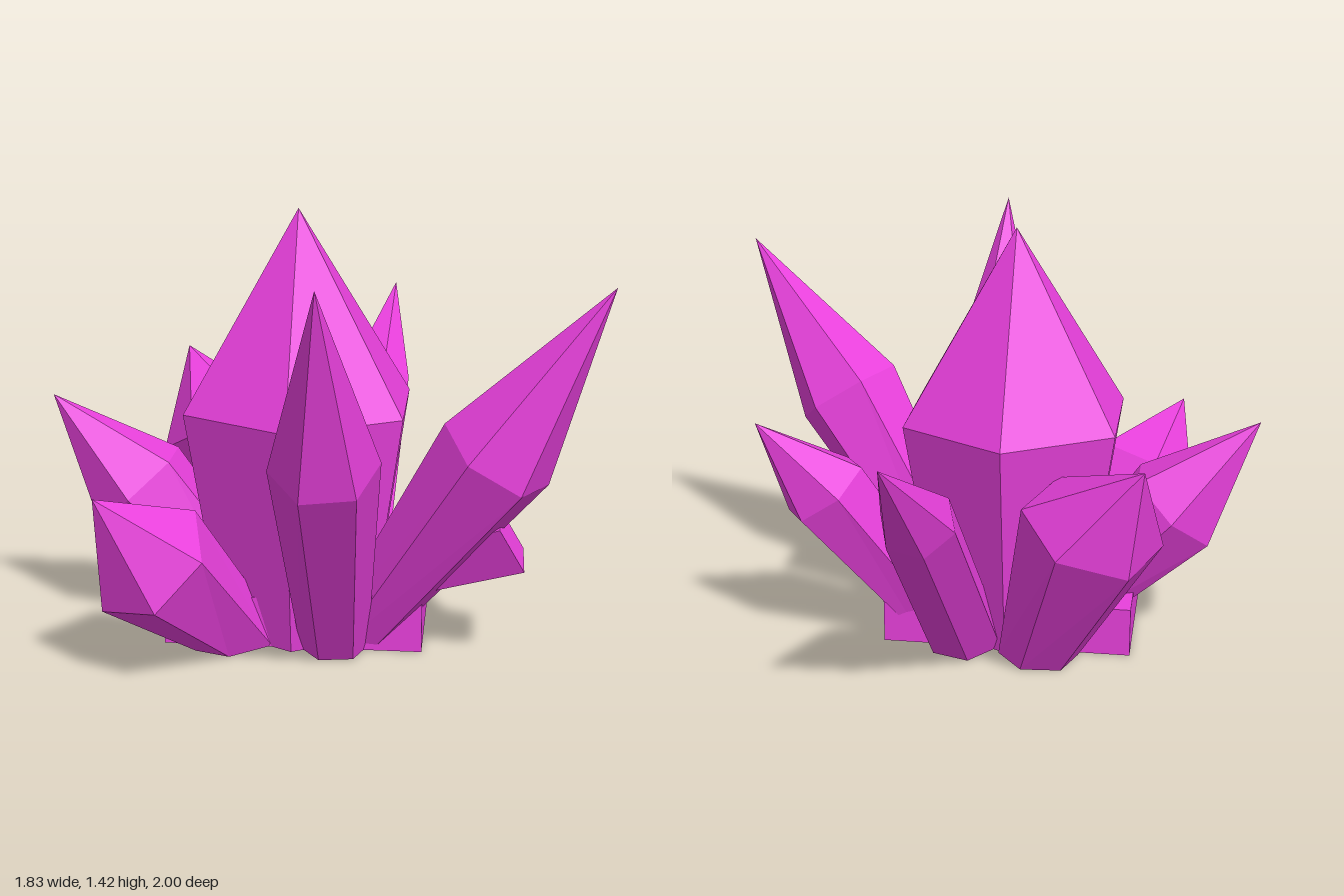
import * as THREE from 'three';

const V = (a) => new THREE.Vector3(...a);

export function createModel() {
  const group = new THREE.Group();
  const material = new THREE.MeshStandardMaterial({ color: 0xe840dc, flatShading: true });

  const add = (name, geometry) => {
    const mesh = new THREE.Mesh(geometry, material);
    mesh.name = name;
    group.add(mesh);
  };

  // Six-sided crystal: narrow foot cut at the ground, wide girdle, pointed tip.
  // 'corner' points towards one corner of the hexagon.
  const crystal = (name, { foot, girdle, tip, r0, r1, corner }) => {
    const f = V(foot), g = V(girdle), t = V(tip);
    const axis = g.clone().sub(f).normalize();
    const u = V(corner).addScaledVector(axis, -V(corner).dot(axis)).normalize();
    const w = axis.clone().cross(u);
    const ring = (c, r) => Array.from({ length: 6 }, (_, i) => c.clone()
      .addScaledVector(u, r * Math.cos(i * Math.PI / 3))
      .addScaledVector(w, r * Math.sin(i * Math.PI / 3)));
    const low = ring(f, r0), high = ring(g, r1);
    low.forEach((p) => p.addScaledVector(axis, -p.y / axis.y)); // slide the foot onto the ground
    const points = [];
    for (let i = 0; i < 6; i++) {
      const j = (i + 1) % 6;
      points.push(low[i], low[j], high[j], low[i], high[j], high[i]); // shaft
      points.push(high[i], high[j], t); // point
      points.push(low[j], low[i], f); // underside
    }
    const geometry = new THREE.BufferGeometry().setFromPoints(points);
    geometry.computeVertexNormals();
    add(name, geometry);
  };

  // Blunt slanted shard: a unit box sheared along its own directions
  const shard = (name, { center, along, up, across }) => {
    const geometry = new THREE.BoxGeometry(1, 1, 1);
    geometry.applyMatrix4(new THREE.Matrix4().makeBasis(V(along), V(up), V(across)).setPosition(V(center)));
    geometry.computeVertexNormals();
    add(name, geometry);
  };

  // Base block
  const base = new THREE.BoxGeometry(0.85, 0.17, 0.48);
  base.translate(-0.085, 0.085, 0.11);
  add('base', base);

  crystal('mainCrystal', { foot: [-0.085, 0, 0.11], girdle: [-0.085, 0.775, 0.11], tip: [-0.085, 1.42, 0.11], r0: 0.28, r1: 0.41, corner: [0, 0, 1] });

  // Leaning crystals around the main one
  crystal('frontCrystal', { foot: [0.052, 0, 0.33], girdle: [0.057, 0.74, 0.73], tip: [0.057, 1.325, 1], r0: 0.112, r1: 0.172, corner: [1, 0, -0.17] });
  crystal('frontLeftCrystal', { foot: [0.11, 0, 0.25], girdle: [0.57, 0.71, 0.445], tip: [0.915, 1.255, 0.51], r0: 0.1, r1: 0.193, corner: [-0.8, 0.5, 0.1] });
  crystal('leftCrystal', { foot: [0.15, 0, 0], girdle: [0.53, 0.56, -0.145], tip: [0.73, 0.825, -0.26], r0: 0.1, r1: 0.155, corner: [0.08, 0, 0.12] });
  crystal('backCrystal', { foot: [0.06, 0, -0.08], girdle: [0.12, 0.67, -0.655], tip: [0.17, 0.97, -1], r0: 0.13, r1: 0.125, corner: [-0.12, 0, -0.04] });
  crystal('backRightCrystal', { foot: [-0.2, 0, -0.16], girdle: [-0.39, 0.55, -0.33], tip: [-0.56, 0.815, -0.51], r0: 0.13, r1: 0.24, corner: [-0.25, 0, 0.02] });
  crystal('rightCrystal', { foot: [-0.22, 0, 0.1], girdle: [-0.635, 0.47, 0.1], tip: [-0.915, 0.78, 0.11], r0: 0.11, r1: 0.187, corner: [0, 0, 1] });
  crystal('frontRightCrystal', { foot: [-0.27, 0, 0.3], girdle: [-0.505, 0.38, 0.605], tip: [-0.64, 0.63, 0.77], r0: 0.12, r1: 0.213, corner: [-0.2, 0, -0.07] });

  // Stubs between the crystals
  shard('leftShard', { center: [0.385, 0.312, 0.28], along: [0.48, 0.175, 0.145], up: [-0.08, 0.145, 0.025], across: [0, 0, 0.233] });
  shard('rightShard', { center: [-0.38, 0.1, 0.29], along: [0.26, -0.02, -0.1], up: [0.02, 0.09, 0], across: [0.03, 0, 0.1] });

  return group;
}
